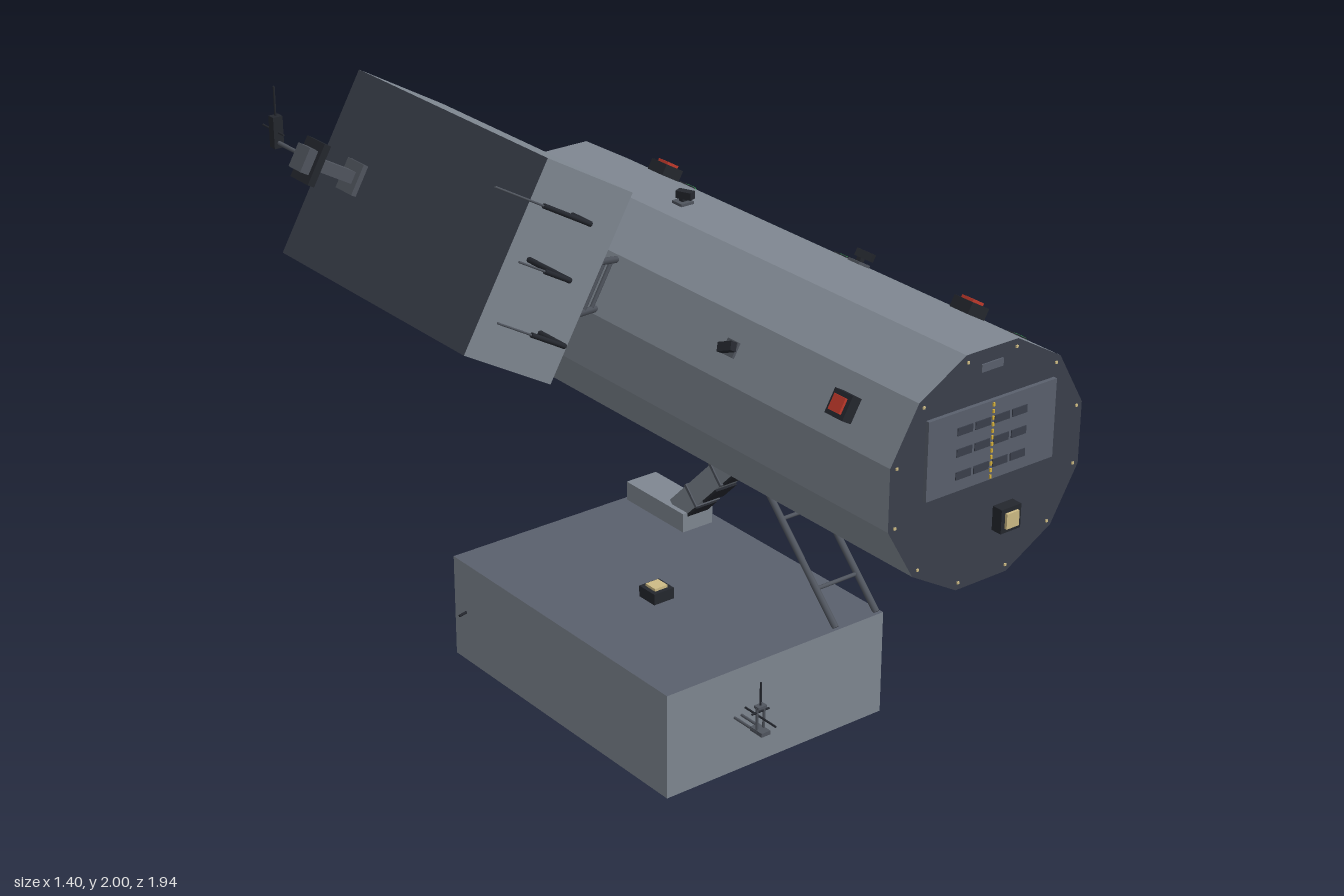
import * as THREE from 'three';

const mat = (name, color) => Object.assign(new THREE.MeshStandardMaterial({ color }), { name });

export function createModel() {
  const hull = mat('hull grey', 0x7f8791), deck = mat('deck grey', 0x5a606d);
  const dark = mat('dark slate', 0x3a3f4b), black = mat('black', 0x24272e);
  const frame = mat('frame grey', 0x50555e), red = mat('red lens', 0xc0392b);
  const green = mat('green lens', 0x35b558), cream = mat('cream lens', 0xcdbb85);
  const yellow = mat('yellow paint', 0xd8b23a);
  const root = new THREE.Group();
  const V = (x, y, z) => new THREE.Vector3(x, y, z);
  const UP = V(0, 1, 0);
  const CX = 0.345, CY = 1.255, APO = 0.335, HALF = 0.93;

  const add = (parent, name, geo, m, x = 0, y = 0, z = 0) => {
    const mesh = new THREE.Mesh(geo, m);
    mesh.name = name;
    mesh.position.set(x, y, z);
    parent.add(mesh);
    return mesh;
  };
  const box = (parent, name, m, w, h, d, x, y, z) =>
    add(parent, name, new THREE.BoxGeometry(w, h, d), m, x, y, z);
  const rod = (parent, name, m, a, b, r) => {
    const d = b.clone().sub(a), c = a.clone().add(b).multiplyScalar(0.5);
    const mesh = add(parent, name, new THREE.CylinderGeometry(r, r, d.length(), 8), m, c.x, c.y, c.z);
    mesh.quaternion.setFromUnitVectors(UP, d.normalize());
  };
  const group = (parent, name, pos, normal = UP) => {
    const g = new THREE.Group();
    g.name = name;
    g.position.copy(pos);
    g.quaternion.setFromUnitVectors(UP, normal);
    parent.add(g);
    return g;
  };
  // Point and normal on one of the twelve side facets
  const facet = (deg, z) => {
    const a = THREE.MathUtils.degToRad(deg), n = V(Math.cos(a), Math.sin(a), 0);
    return [V(CX + APO * n.x, CY + APO * n.y, z), n];
  };

  // Twelve-sided main hull with dark end caps
  const prism = new THREE.CylinderGeometry(APO / Math.cos(Math.PI / 12), APO / Math.cos(Math.PI / 12),
    2 * HALF, 12, 1, false, Math.PI / 12).rotateX(Math.PI / 2).toNonIndexed();
  prism.computeVertexNormals();
  add(root, 'mainHull', prism, [hull, dark, dark], CX, CY, 0);

  // Front panel with slots, centre stripe and rim markers
  box(root, 'frontPanel', deck, 0.445, 0.225, 0.012, 0.3475, 1.3325, HALF + 0.006);
  for (const y of [1.39, 1.33, 1.265])
    for (const x of [-0.095, -0.033, 0.033, 0.095])
      box(root, 'panelSlot', dark, 0.052, 0.022, 0.004, CX + x, y, HALF + 0.013);
  for (let i = 0; i < 12; i++)
    box(root, 'centreStripe', yellow, 0.006, 0.01, 0.004, CX, 1.23 + i * 0.0186, HALF + 0.015);
  box(root, 'namePlate', deck, 0.075, 0.022, 0.004, CX, 1.54, HALF + 0.002);
  for (let i = 0; i < 12; i++) {
    const a = (i + 0.5) * Math.PI / 6;
    box(root, 'rimMarker', cream, 0.007, 0.007, 0.004,
      CX + 0.325 * Math.cos(a), CY + 0.325 * Math.sin(a), HALF + 0.002);
  }

  // Lights: square housing with a raised lens
  const light = (name, pos, normal, lens) => {
    const g = group(root, name, pos, normal);
    box(g, 'housing', black, 0.07, 0.034, 0.07, 0, 0.017, 0);
    box(g, 'lens', lens, 0.044, 0.01, 0.044, 0, 0.037, 0);
  };
  for (const z of [-0.655, 0.655]) light('redLight', ...facet(60, z), red);
  for (const z of [-0.71, 0, 0.71]) light('greenLight', ...facet(30, z), green);
  light('redLight', ...facet(150, 0.71), red);
  for (const s of [-1, 1]) light('endLight', V(0.41, 1.095, s * HALF), V(0, 0, s), cream);
  light('deckLight', V(-0.015, 0.59, 0), UP, cream);

  // Small sensors on the hull facets
  for (const [deg, z] of [[90, -0.345], [60, 0.22], [150, 0.24]]) {
    const g = group(root, 'camera', ...facet(deg, z));
    box(g, 'cameraBase', frame, 0.045, 0.008, 0.045, 0, 0.004, 0);
    box(g, 'cameraPost', black, 0.016, 0.025, 0.016, 0, 0.015, 0);
    box(g, 'cameraHead', black, 0.026, 0.022, 0.05, 0, 0.03, 0.01).rotation.y = 0.4;
  }
  for (const deg of [0, 180]) {
    const g = group(root, 'sideSensor', ...facet(deg, -0.85));
    add(g, 'sensorDish', new THREE.CylinderGeometry(0.02, 0.012, 0.014, 10), black, 0, 0.007, 0);
    rod(g, 'sensorSpike', frame, V(0, 0.01, 0), V(0, 0.03, 0), 0.003);
  }

  // Arm and cargo module, hanging below the hull axis and swung round it
  const module = (name, angle, width, offset, zBack, zFront, height, strutShift, rodZ) => {
    const g = new THREE.Group();
    g.name = name;
    g.position.set(CX, CY, 0);
    g.rotation.z = angle;
    root.add(g);
    const top = -0.665;
    box(g, 'moduleBox', [hull, hull, deck, dark, hull, hull], width, height, zFront - zBack,
      offset, top - height / 2, (zBack + zFront) / 2);
    box(g, 'strutMount', hull, 0.11, 0.06, 0.275, 0, top + 0.03, -0.4075 + strutShift);
    // Slanted main strut with collars and dark pads
    const strut = group(g, 'mainStrut', V(0, -0.47, -0.18 + strutShift));
    strut.rotation.x = Math.PI / 4;
    box(strut, 'strutBeam', hull, 0.08, 0.42, 0.068, 0, 0, 0);
    for (const y of [-0.1, 0.06]) box(strut, 'strutCollar', frame, 0.088, 0.01, 0.076, 0, y, 0);
    for (const y of [-0.15, -0.02, 0.13])
      box(strut, 'strutPad', black, 0.076, y > 0 ? 0.12 : 0.085, 0.008, 0, y, 0.037);
    // Twin braces with rungs
    const [a, b] = rodZ.map((z, i) => [i ? top : -0.32, z]);
    for (const x of [-0.075, 0.075]) rod(g, 'brace', frame, V(x, ...a), V(x, ...b), 0.01);
    for (const t of [0.3, 0.75]) {
      const y = a[0] + (b[0] - a[0]) * t, z = a[1] + (b[1] - a[1]) * t;
      rod(g, 'braceRung', frame, V(-0.075, y, z), V(0.075, y, z), 0.006);
    }
  };
  module('lowerModule', 0, 0.765, -0.2925, -0.558, 0.457, 0.32, 0, [0.1, 0.445]);
  module('upperModule', -Math.PI * 2 / 3, 0.553, 0, -0.9, 0, 0.314, -0.34, [-0.34, -0.01]);

  // Lower module: front antenna
  const ant = group(root, 'frontAntenna', V(-0.085, 0.44, 0.457));
  for (const x of [-0.012, 0.012]) rod(ant, 'antennaArm', frame, V(x, 0, 0), V(x, 0, 0.1), 0.004);
  box(ant, 'antennaBody', frame, 0.03, 0.012, 0.05, 0, 0, 0.095);
  for (const x of [-0.012, 0.012]) rod(ant, 'antennaPost', frame, V(x, 0, 0.095), V(x, 0.075, 0.095), 0.004);
  box(ant, 'antennaCap', frame, 0.03, 0.008, 0.02, 0, 0.075, 0.095);
  rod(ant, 'antennaWhip', black, V(0, 0.07, 0.095), V(0, 0.15, 0.095), 0.003);
  rod(ant, 'antennaBar', black, V(0, 0.042, 0.03), V(0, 0.042, 0.16), 0.003);
  rod(ant, 'antennaCross', black, V(-0.03, 0.06, 0.095), V(0.03, 0.06, 0.095), 0.003);

  // Lower module: lattice mast and dish underneath
  for (const s of [-1, 1]) rod(root, 'mastRail', frame, V(CX + s * 0.006, 0.27, -0.335 + s * 0.006),
    V(CX + s * 0.006, 0.04, -0.335 + s * 0.006), 0.0025);
  for (let i = 0; i < 12; i++)
    box(root, 'mastRung', frame, 0.016, 0.004, 0.016, CX, 0.045 + i * 0.019, -0.335);
  rod(root, 'mastTip', black, V(CX, 0.05, -0.335), V(CX, 0, -0.335), 0.003);
  rod(root, 'dishPost', black, V(0.305, 0.27, -0.43), V(0.305, 0.235, -0.445), 0.006);
  add(root, 'dish', new THREE.CylinderGeometry(0.015, 0.027, 0.016, 12), black, 0.305, 0.233, -0.445).rotation.x = -0.6;
  for (const [x, s] of [[-0.33, -1], [0.435, 1]])
    rod(root, 'sideWhip', black, V(x, 0.43, -0.5), V(x + s * 0.025, 0.425, -0.5), 0.004);
  rod(root, 'rearWhip', black, V(0.05, 0.43, -0.557), V(0.05, 0.42, -0.59), 0.004);

  // Upper module: bent antennas at its front
  for (const [x, y, z, len] of [[-0.29, 1.81, 0.08, 0.34], [-0.43, 1.72, 0.18, 0.18], [-0.4, 1.505, 0.11, 0.24]]) {
    const elbow = V(x, y, z), out = V(-0.866, 0.5, 0);
    rod(root, 'antennaBracket', black, V(x, y, -0.01), elbow, 0.008);
    rod(root, 'antennaBase', black, elbow, elbow.clone().addScaledVector(out, len * 0.5), 0.007);
    rod(root, 'antennaTip', frame, elbow, elbow.clone().addScaledVector(out, len), 0.003);
  }

  // Upper module: sensor boom on the outer face
  const boom = group(root, 'sensorBoom', V(-0.507, 1.75, -0.72), V(-0.866, 0.5, 0));
  box(boom, 'boomFoot', frame, 0.09, 0.016, 0.08, 0, 0.008, 0);
  box(boom, 'boomArm', frame, 0.035, 0.13, 0.04, 0, 0.08, 0);
  box(boom, 'boomHead', black, 0.12, 0.022, 0.09, 0, 0.155, 0);
  box(boom, 'boomPlate', frame, 0.07, 0.03, 0.06, 0, 0.18, 0);
  rod(root, 'boomMast', frame, V(-0.65, 1.84, -0.72), V(-0.65, 1.84, -0.88), 0.006);
  box(root, 'boomMastHead', black, 0.03, 0.09, 0.025, -0.65, 1.87, -0.88);
  rod(root, 'boomWhip', black, V(-0.65, 1.9, -0.88), V(-0.65, 2.0, -0.88), 0.003);
  rod(root, 'boomCross', black, V(-0.65, 1.87, -0.84), V(-0.65, 1.87, -0.95), 0.003);

  return root;
}
